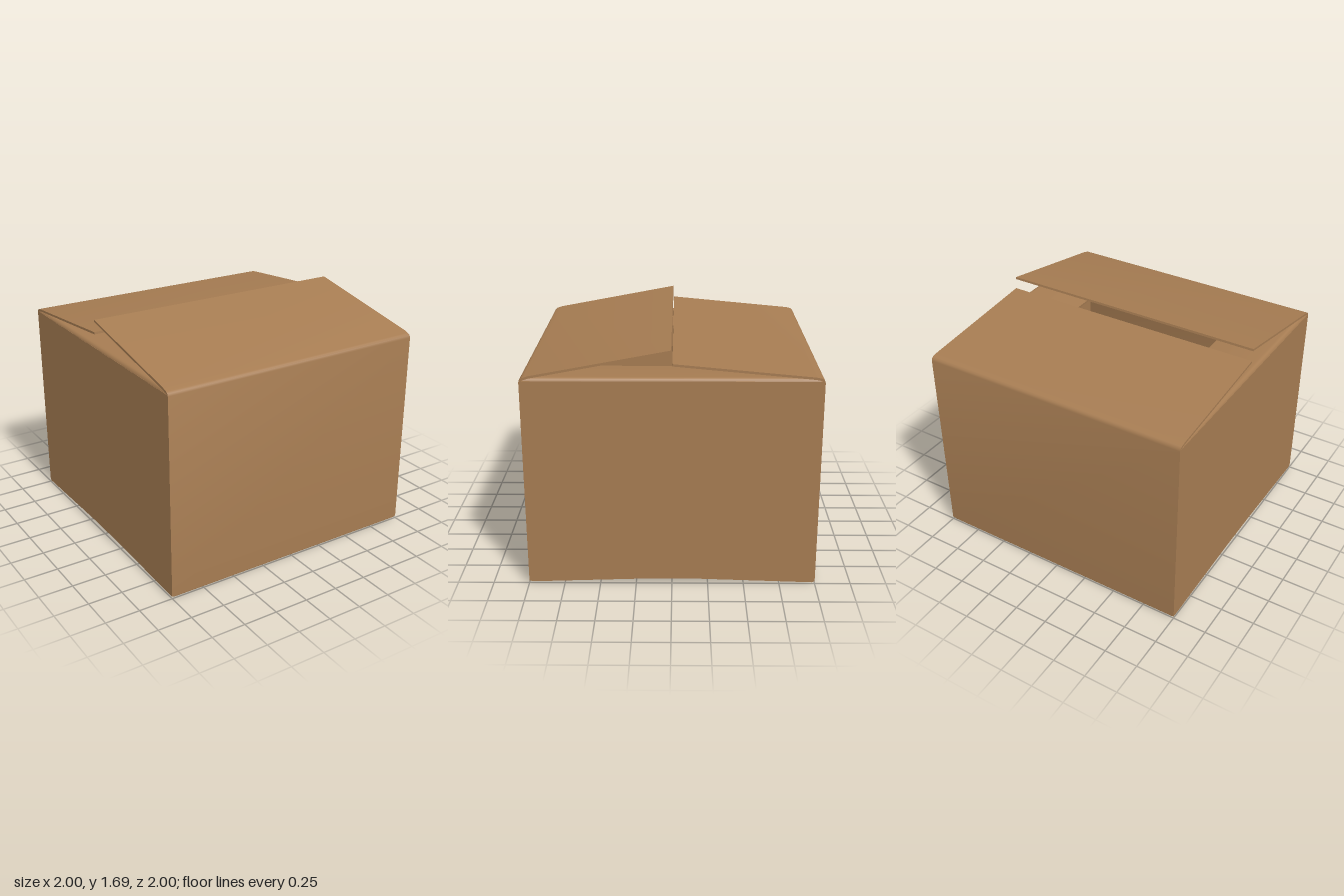
import * as THREE from 'three';
import { toCreasedNormals } from 'three/addons/utils/BufferGeometryUtils.js';

const T = 0.016; // board thickness

// Closed outline around a centre line of [a, b] points
function bandOutline(path) {
  const offset = (side) => path.map(([a, b], i) => {
    const p = path[Math.max(i - 1, 0)], n = path[Math.min(i + 1, path.length - 1)];
    const da = n[0] - p[0], db = n[1] - p[1], l = Math.hypot(da, db);
    return [a - (db / l) * side * T / 2, b + (da / l) * side * T / 2];
  });
  return [...offset(1), ...offset(-1).reverse()];
}

// Extrudes an outline, centred on its extrusion axis
function extrude(outline, depth) {
  const shape = new THREE.Shape(outline.map(([a, b]) => new THREE.Vector2(a, b)));
  const geo = new THREE.ExtrudeGeometry(shape, { depth, bevelEnabled: false });
  geo.translate(0, 0, -depth / 2);
  return toCreasedNormals(geo, 0.7);
}

export function createModel() {
  const group = new THREE.Group();
  const cardboard = new THREE.MeshStandardMaterial({ color: 0xa67c52 });
  const add = (name, geo, parent = group) => {
    const mesh = new THREE.Mesh(geo, cardboard);
    mesh.name = name;
    parent.add(mesh);
    return mesh;
  };

  // Front and back walls, each folding over into a long raised top flap
  for (const [name, s, tip] of [['front', 1, 1.683], ['back', -1, 1.592]]) {
    const path = [
      [0.992, 0.016], [0.992, 1.475], [0.988, 1.487], [0.979, 1.495], [0.965, 1.498],
      [0.94, 1.499 + (tip - 1.499) * 0.045], [0.003, tip],
    ].map(([z, y]) => [s * z, y]);
    add(name + 'WallAndFlap', extrude(bandOutline(path), 2).rotateY(-Math.PI / 2));
  }

  // Bottom panel, slightly arched along z, with softened edges
  const under = [[-0.985, 0], [-0.2, 0.025], [0.2, 0.025], [0.985, 0]];
  const bottom = [
    ...under, [0.996, 0.008], [0.998, 0.018],
    [0.2, 0.042], [-0.2, 0.042], [-0.998, 0.018], [-0.996, 0.008],
  ];
  add('bottomPanel', extrude(bottom, 1.965).rotateY(-Math.PI / 2));

  // Side walls with short flaps drooping inward below the long ones
  const wall = [
    [-0.985, 0.014], [-0.2, 0.035], [0.2, 0.035], [0.985, 0.014],
    [0.985, 1.482], [-0.985, 1.482],
  ];
  const sideFlap = [
    [0.992, 1.478], [0.989, 1.488], [0.98, 1.495], [0.965, 1.496], [0.57, 1.452],
  ];
  for (const [name, angle] of [['left', 0], ['right', Math.PI]]) {
    const side = new THREE.Group();
    side.name = name + 'Side';
    side.rotation.y = angle;
    add(name + 'Wall', extrude(wall, T).rotateY(-Math.PI / 2).translate(1 - T / 2, 0, 0), side);
    add(name + 'Flap', extrude(bandOutline(sideFlap), 1.94), side);
    group.add(side);
  }
  return group;
}
